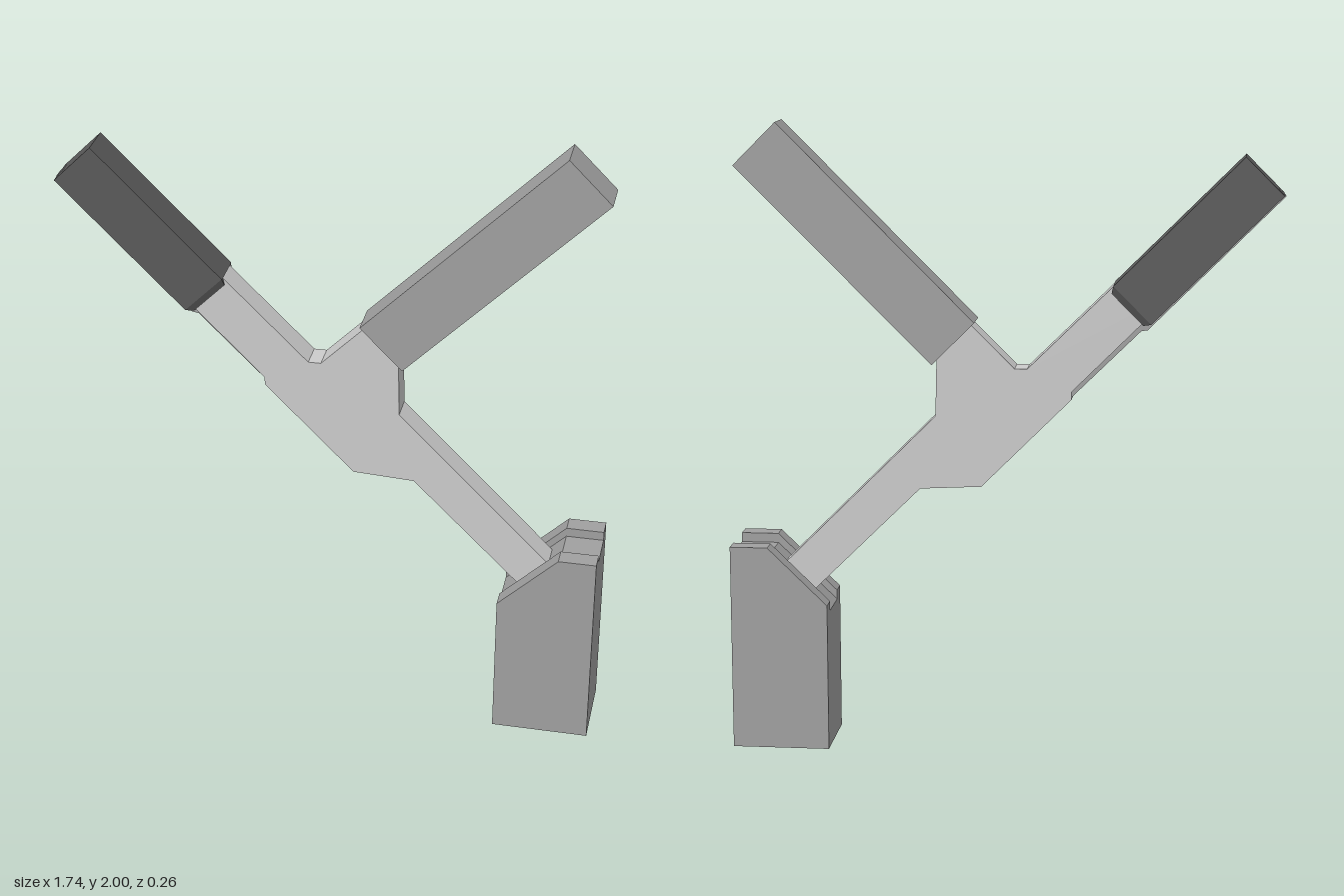
import * as THREE from 'three';

const material = (color) => new THREE.MeshStandardMaterial({ color, flatShading: true });

// Flat outline in x/y given thickness between z0 and z1
function plate(name, points, z0, z1, mat) {
  const shape = new THREE.Shape(points.map(([x, y]) => new THREE.Vector2(x, y)));
  const geometry = new THREE.ExtrudeGeometry(shape, { depth: z1 - z0, bevelEnabled: false });
  geometry.translate(0, 0, z0);
  const mesh = new THREE.Mesh(geometry, mat);
  mesh.name = name;
  return mesh;
}

// Chamfered sleeve: rectangular cross-sections [along, halfHeight, halfDepth] lofted along local x
function sleeve(sections) {
  const pos = [], index = [];
  for (const [x, h, d] of sections) pos.push(x, -h, -d, x, h, -d, x, h, d, x, -h, d);
  for (let s = 0; s < sections.length - 1; s++) {
    for (let i = 0; i < 4; i++) {
      const a = s * 4 + i, b = s * 4 + (i + 1) % 4;
      index.push(a, b, b + 4, a, b + 4, a + 4);
    }
  }
  const e = (sections.length - 1) * 4;
  index.push(0, 2, 1, 0, 3, 2, e, e + 1, e + 2, e, e + 2, e + 3);
  const geometry = new THREE.BufferGeometry();
  geometry.setAttribute('position', new THREE.Float32BufferAttribute(pos, 3));
  geometry.setIndex(index);
  const flat = geometry.toNonIndexed();
  flat.computeVertexNormals();
  return flat;
}

export function createModel() {
  const model = new THREE.Group();
  model.name = 'branchedFrame';
  const light = material(0xcccccc);
  const mid = material(0xa0a0a0);
  const dark = material(0x5a5a5a);

  // Main frame: three arms meeting in a central hub
  model.add(plate('frame', [
    [-0.45, 1.605], [-0.075, 1.235], [-0.035, 1.235], [0.12, 1.39], [0.21, 1.3],
    [0.215, 1.08], [0.72, 0.575], [0.63, 0.485], [0.265, 0.845], [0.07, 0.855],
    [-0.215, 1.14], [-0.215, 1.165], [-0.54, 1.49],
  ], -0.045, 0.045, light));

  // Square bar on the upper right arm
  model.add(plate('upperBar', [
    [0.09, 1.38], [0.225, 1.245], [0.845, 1.865], [0.71, 2.0],
  ], -0.06, 0.06, mid));

  // Dark grip with a chamfered inner end
  const grip = new THREE.Mesh(sleeve([
    [-0.295, 0.084, 0.06], [0.275, 0.084, 0.06], [0.297, 0.07, 0.048],
  ]), dark);
  grip.name = 'grip';
  grip.position.set(-0.597, 1.637, 0);
  grip.rotation.z = -Math.PI / 4;
  model.add(grip);

  // Thin strip running under the grip and the arm
  model.add(plate('underStrip', [
    [-0.87, 1.782], [-0.45, 1.36], [-0.43, 1.357], [-0.215, 1.145],
    [-0.215, 1.17], [-0.85, 1.805],
  ], -0.022, 0.022, mid));

  // Foot block: lower core between two taller cheeks, leaving a slot for the arm
  const foot = new THREE.Group();
  foot.name = 'footBlock';
  const outline = (drop) => [
    [0.555, 0], [0.865, 0], [0.865, 0.66 - drop], [0.745, 0.66 - drop], [0.555, 0.475 - drop],
  ];
  foot.add(plate('footCore', outline(0.03), -0.07, 0.07, mid));
  foot.add(plate('frontCheek', outline(0), 0.07, 0.13, mid));
  foot.add(plate('backCheek', outline(0), -0.13, -0.07, mid));
  model.add(foot);

  return model;
}
